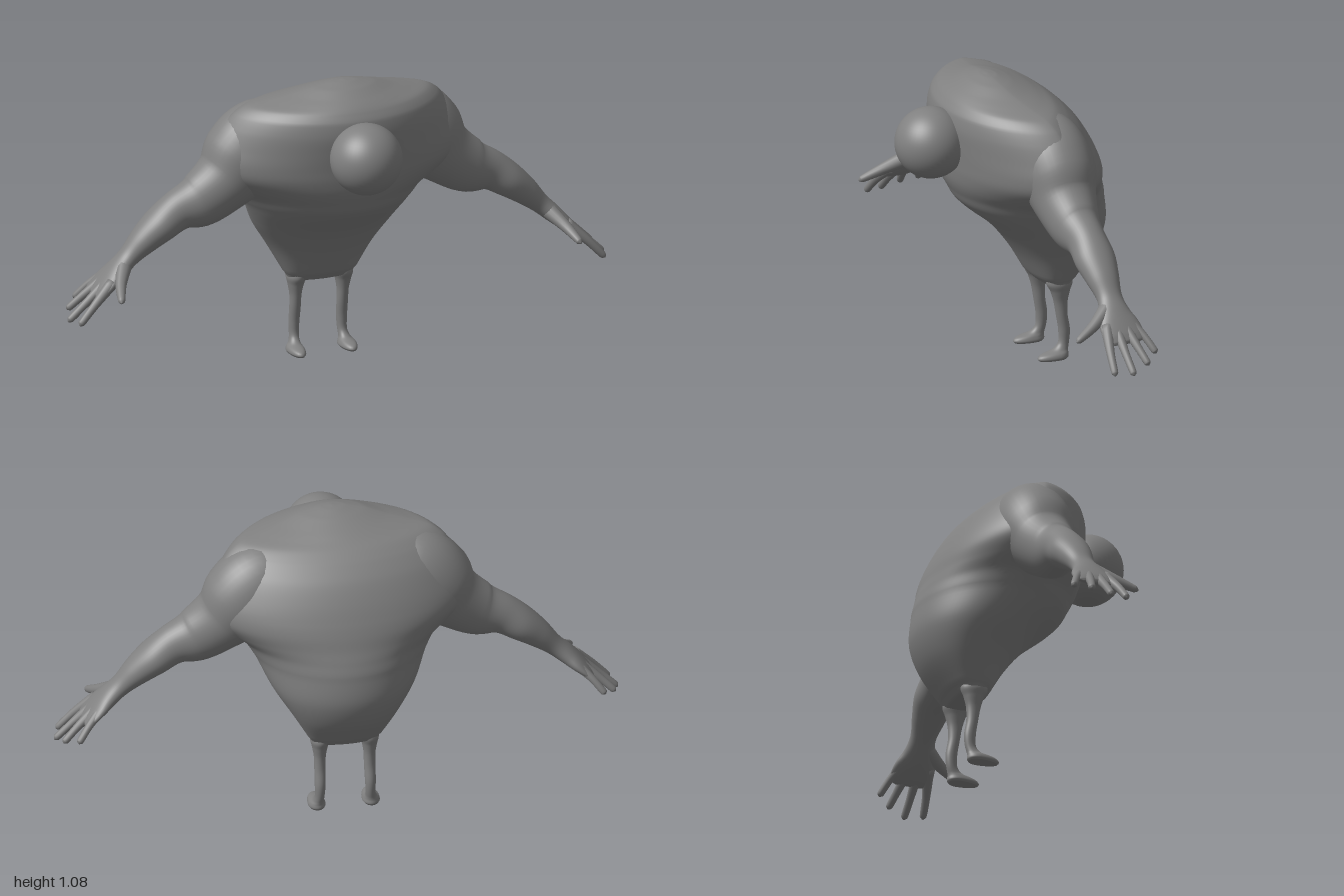
import * as THREE from 'three';

const material = new THREE.MeshStandardMaterial({ color: 0x808080 });
const UP = new THREE.Vector3(0, 1, 0);

// Smooth closed skin through rows of [x, y, z, width, depth toward +v, depth toward -v].
// Rings follow the path, or stay level when a fixed axis is given.
// power(y) shapes the ring: below 1 boxy, 1 elliptical, above 1 pointed at the sides.
function loft(name, rows, { axis = null, steps = 6, sides = 32, power = () => 1 } = {}) {
  const path = new THREE.CatmullRomCurve3(rows.map(r => new THREE.Vector3(r[0], r[1], r[2])));
  const size = new THREE.CatmullRomCurve3(
    rows.map(r => new THREE.Vector3(r[3], r[4] ?? r[3], r[5] ?? r[4] ?? r[3])), false, 'catmullrom', 0.5);
  const count = (rows.length - 1) * steps;
  const pos = [], index = [];
  for (let i = 0; i <= count; i++) {
    const c = path.getPoint(i / count), s = size.getPoint(i / count);
    const t = axis || path.getTangent(i / count);
    const v = new THREE.Vector3(0, 0, 1).addScaledVector(t, -t.z).normalize();
    const u = new THREE.Vector3().crossVectors(v, t);
    for (let j = 0; j < sides; j++) {
      const a = (j / sides) * Math.PI * 2, sn = Math.sin(a);
      const depth = Math.max(sn > 0 ? s.y : s.z, 0.001) * Math.sign(sn) * Math.abs(sn) ** power(c.y);
      const p = c.clone().addScaledVector(u, Math.max(s.x, 0.001) * Math.cos(a)).addScaledVector(v, depth);
      pos.push(p.x, p.y, p.z);
    }
  }
  for (let i = 0; i < count; i++) {
    for (let j = 0; j < sides; j++) {
      const k = (j + 1) % sides, a = i * sides, b = a + sides;
      index.push(a + j, a + k, b + k, a + j, b + k, b + j);
    }
  }
  // End caps
  const first = pos.length / 3, last = count * sides;
  pos.push(...rows[0].slice(0, 3), ...rows[rows.length - 1].slice(0, 3));
  for (let j = 0; j < sides; j++) {
    const k = (j + 1) % sides;
    index.push(first, k, j, first + 1, last + j, last + k);
  }
  const g = new THREE.BufferGeometry();
  g.setAttribute('position', new THREE.Float32BufferAttribute(pos, 3));
  g.setIndex(index);
  g.computeVertexNormals();
  const mesh = new THREE.Mesh(g, material);
  mesh.name = name;
  return mesh;
}

// Torso levels, flaring into the shoulders:
// height, half width, front z, back z, z of the widest point
const torsoLevels = [
  [0.264, 0.06, -0.18, -0.22, -0.2],
  [0.272, 0.112, -0.15, -0.245, -0.2],
  [0.3, 0.133, -0.12, -0.275, -0.2],
  [0.4, 0.19, -0.06, -0.35, -0.2],
  [0.5, 0.255, 0.02, -0.385, -0.17],
  [0.6, 0.305, 0.135, -0.378, -0.12],
  [0.655, 0.345, 0.17, -0.365, -0.1],
  [0.7, 0.41, 0.19, -0.35, -0.085],
  [0.75, 0.465, 0.2, -0.335, -0.075],
  [0.8, 0.474, 0.205, -0.315, -0.07],
  [0.86, 0.45, 0.212, -0.285, -0.065],
  [0.92, 0.418, 0.217, -0.245, -0.055],
  [0.97, 0.38, 0.21, -0.195, -0.04],
  [1.0, 0.335, 0.19, -0.155, -0.025],
  [1.017, 0.265, 0.172, -0.125, -0.005],
  [1.035, 0.19, 0.145, -0.09, 0.015],
  [1.058, 0.115, 0.105, -0.035, 0.033],
  [1.072, 0.045, 0.065, 0.01, 0.04],
  [1.075, 0.005, 0.045, 0.035, 0.04],
];
const torsoPower = y => Math.min(1.3, 0.7 + 1.4 * Math.max(0, y - 0.27));

// Arm from inside the shoulder to the knuckles: x, y, z, thickness, breadth
const armRows = [
  [0.15, 0.885, -0.05, 0.08, 0.08],
  [0.25, 0.86, -0.06, 0.15, 0.13],
  [0.335, 0.795, -0.065, 0.153, 0.137],
  [0.41, 0.72, -0.06, 0.115, 0.112],
  [0.5, 0.66, -0.056, 0.098, 0.088],
  [0.58, 0.632, -0.058, 0.073, 0.07],
  [0.65, 0.586, -0.058, 0.062, 0.073],
  [0.71, 0.538, -0.057, 0.05, 0.06],
  [0.765, 0.486, -0.056, 0.036, 0.046],
  [0.81, 0.445, -0.053, 0.032, 0.058],
  [0.845, 0.413, -0.054, 0.027, 0.074],
  [0.88, 0.382, -0.056, 0.019, 0.078],
  [0.897, 0.367, -0.056, 0.011, 0.066],
  [0.902, 0.362, -0.056, 0.003, 0.05],
];

// Fingers and thumb: base, middle, tip, base radius
const fingers = [
  ['indexFinger', [0.845, 0.415, -0.005], [0.92, 0.347, 0.017], [0.98, 0.283, 0.027], 0.022],
  ['middleFinger', [0.85, 0.412, -0.038], [0.932, 0.34, -0.036], [0.998, 0.279, -0.038], 0.021],
  ['ringFinger', [0.85, 0.412, -0.07], [0.925, 0.35, -0.088], [0.978, 0.3, -0.104], 0.021],
  ['littleFinger', [0.835, 0.422, -0.092], [0.89, 0.374, -0.128], [0.934, 0.321, -0.155], 0.02],
  ['thumb', [0.785, 0.468, -0.045], [0.829, 0.42, 0.035], [0.857, 0.38, 0.116], 0.03],
];

function finger([name, base, mid, tip, r], side) {
  const near = tip.map((c, i) => c + (mid[i] - c) * 0.12);
  const rows = [[...base, r], [...mid, r * 0.68], [...near, 0.012], [...tip, 0.003]];
  return loft(name, rows.map(([x, ...rest]) => [x * side, ...rest]), { sides: 14 });
}

// Leg levels from the sole up: x, y, z, half width, front depth, back depth
const legRows = [
  [0.096, 0, -0.185, 0.026, 0.07, 0.036],
  [0.096, 0.008, -0.185, 0.031, 0.076, 0.041],
  [0.096, 0.02, -0.187, 0.028, 0.066, 0.038],
  [0.093, 0.033, -0.2, 0.02, 0.032, 0.026],
  [0.09, 0.055, -0.211, 0.017, 0.02, 0.02],
  [0.089, 0.1, -0.214, 0.019, 0.021, 0.021],
  [0.088, 0.16, -0.205, 0.02, 0.021, 0.021],
  [0.088, 0.21, -0.201, 0.021, 0.026, 0.026],
  [0.088, 0.25, -0.199, 0.028, 0.036, 0.037],
  [0.086, 0.28, -0.198, 0.035, 0.05, 0.048],
  [0.078, 0.32, -0.195, 0.03, 0.045, 0.045],
];

export function createModel() {
  const model = new THREE.Group();
  model.name = 'hunchedFigure';

  model.add(loft('torso', torsoLevels.map(([y, w, f, b, m]) => [0, y, m, w, f - m, m - b]),
    { axis: UP, sides: 80, power: torsoPower }));

  const head = new THREE.Mesh(new THREE.SphereGeometry(0.127, 48, 32), material);
  head.name = 'head';
  head.position.set(0, 0.853, 0.26);
  model.add(head);

  for (const side of [1, -1]) {
    const label = side > 0 ? 'left' : 'right';
    const arm = new THREE.Group();
    arm.name = label + 'Arm';
    arm.add(loft('armAndPalm', armRows.map(([x, ...r]) => [x * side, ...r]), { sides: 40 }));
    for (const f of fingers) arm.add(finger(f, side));
    model.add(arm);
    model.add(loft(label + 'Leg', legRows.map(([x, ...r]) => [x * side, ...r]), { axis: UP }));
  }
  return model;
}
